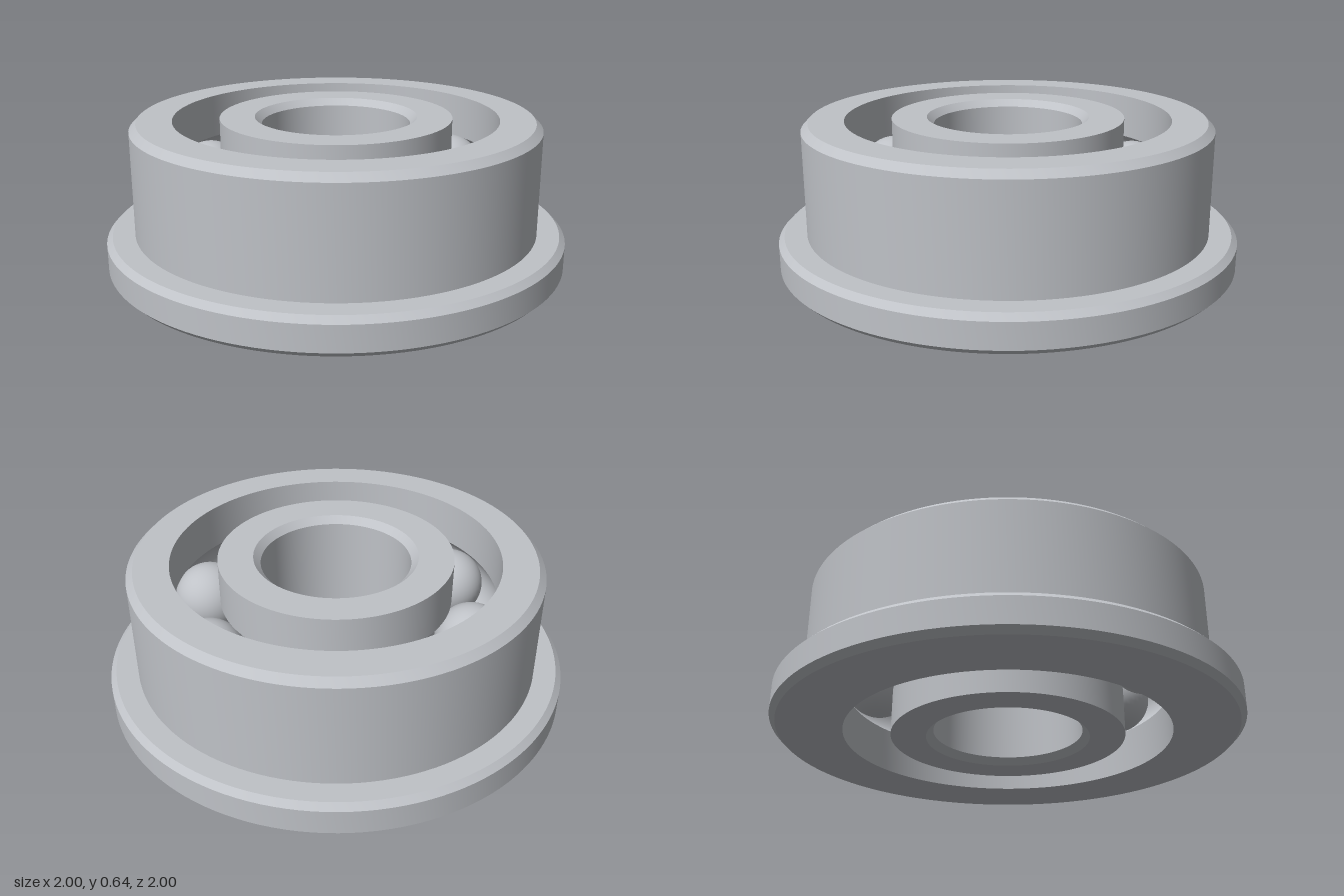
import * as THREE from 'three';
import { toCreasedNormals } from 'three/addons/utils/BufferGeometryUtils.js';

const HEIGHT = 0.64, MID = HEIGHT / 2;
const PITCH = 0.6;            // radius of the circle the balls run on
const BALL = 0.156, GROOVE = 0.16;
const BALLS = 8;

// Arc of the ball groove, as profile points
function grooveArc(from, to, steps = 16) {
  return Array.from({ length: steps + 1 }, (_, i) => {
    const a = from + (to - from) * i / steps;
    return [PITCH + GROOVE * Math.cos(a), MID + GROOVE * Math.sin(a)];
  });
}

// Closed counter-clockwise profile turned around y, with crisp edges
function ring(name, profile, material) {
  const points = [...profile, profile[0]].map(([r, y]) => new THREE.Vector2(r, y));
  const mesh = new THREE.Mesh(toCreasedNormals(new THREE.LatheGeometry(points, 128), 0.4), material);
  mesh.name = name;
  return mesh;
}

export function createModel() {
  const group = new THREE.Group();
  group.name = 'flangedBallBearing';
  const steel = new THREE.MeshStandardMaterial({ color: 0xbfc2c7 });
  steel.name = 'steel';

  const half = Math.acos(0.1 / GROOVE); // where the groove meets the race walls

  // Outer ring with chamfered flange at the base
  group.add(ring('outerRing', [
    [0.7, 0], [0.975, 0], [1, 0.025], [1, 0.135], [0.975, 0.16],
    [0.88, 0.16], [0.88, 0.61], [0.85, HEIGHT], [0.7, HEIGHT],
    ...grooveArc(half, -half),
  ], steel));

  // Inner ring with chamfered bore
  group.add(ring('innerRing', [
    [0.35, 0], [0.5, 0],
    ...grooveArc(Math.PI + half, Math.PI - half),
    [0.5, HEIGHT], [0.35, HEIGHT], [0.32, HEIGHT - 0.03], [0.32, 0.03],
  ], steel));

  // Balls
  const ballGeometry = new THREE.SphereGeometry(BALL, 40, 24);
  const balls = new THREE.Group();
  balls.name = 'balls';
  for (let i = 0; i < BALLS; i++) {
    const a = i * 2 * Math.PI / BALLS;
    const ball = new THREE.Mesh(ballGeometry, steel);
    ball.name = 'ball';
    ball.position.set(PITCH * Math.cos(a), MID, PITCH * Math.sin(a));
    balls.add(ball);
  }
  group.add(balls);
  return group;
}
